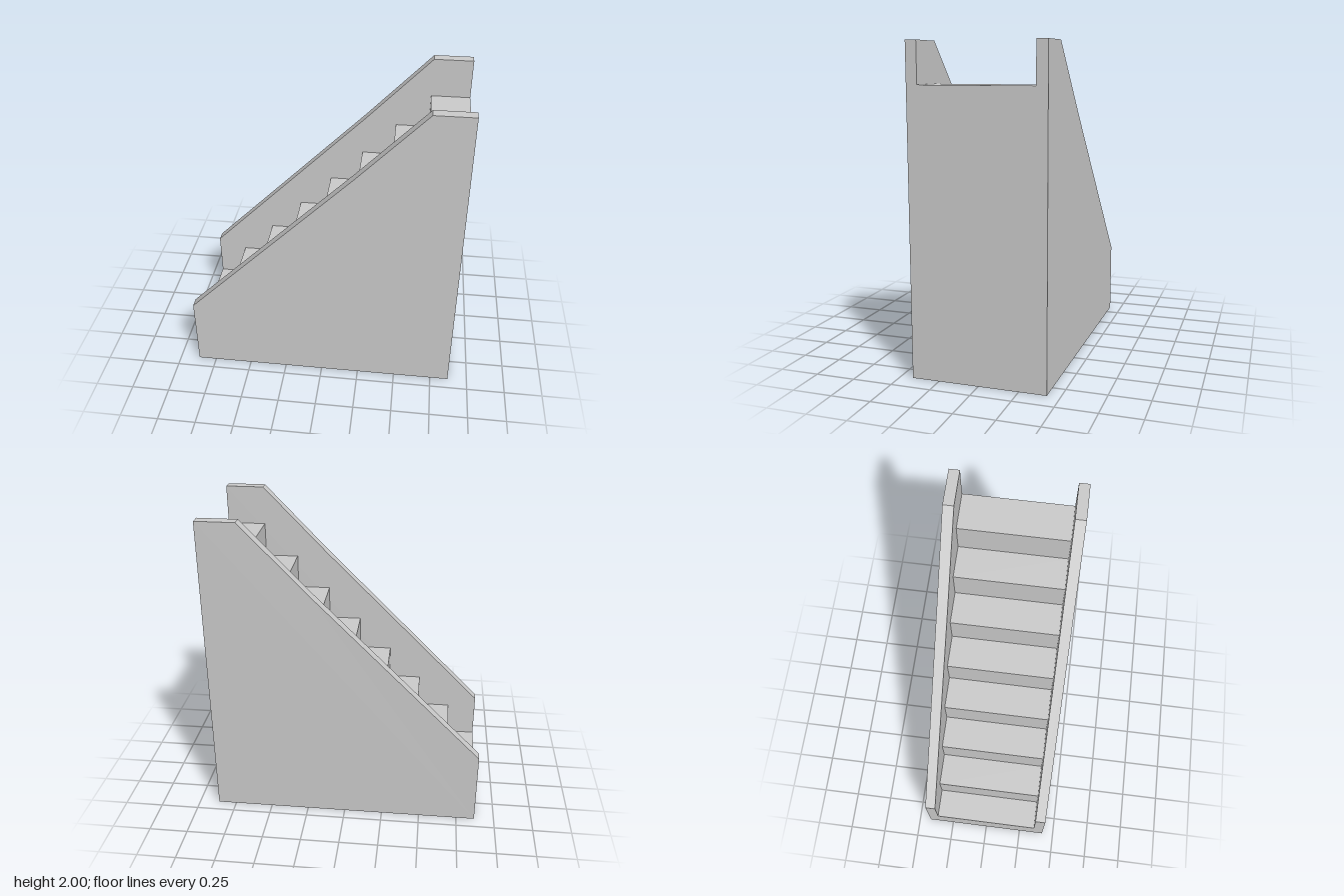
import * as THREE from 'three';

const material = new THREE.MeshStandardMaterial({ color: 0xcccccc, flatShading: true });
const END = 0.87; // half length
const OUTER = 0.42; // half width
const INNER = 0.352; // half width between the side walls

// Extrude a side profile (x, y) from z0 to z1
function slab(name, points, z0, z1) {
  const shape = new THREE.Shape(points.map(([x, y]) => new THREE.Vector2(x, y)));
  const geometry = new THREE.ExtrudeGeometry(shape, { depth: z1 - z0, bevelEnabled: false });
  geometry.translate(0, 0, z0);
  const mesh = new THREE.Mesh(geometry, material);
  mesh.name = name;
  return mesh;
}

export function createModel() {
  const group = new THREE.Group();
  group.name = 'staircase';

  // Solid side walls with a sloping top and a short level landing
  const wall = [[-END, 0], [END, 0], [END, 2], [0.623, 2], [0.2, 1.557], [-END, 0.48]];
  group.add(slab('leftWall', wall, INNER, OUTER));
  group.add(slab('rightWall', wall, -OUTER, -INNER));

  // Solid flight of eight steps between the walls
  const steps = 8, bottom = 0.19, top = 1.75;
  const firstRiser = -0.677, run = 0.2165;
  const rise = (top - bottom) / (steps - 1);
  const profile = [[-END, 0], [END, 0], [END, top]];
  for (let i = steps - 1; i > 0; i--) {
    const x = firstRiser + (i - 1) * run;
    profile.push([x, bottom + i * rise], [x, bottom + (i - 1) * rise]);
  }
  profile.push([-END, bottom]);
  group.add(slab('steps', profile, -INNER, INNER));

  return group;
}
